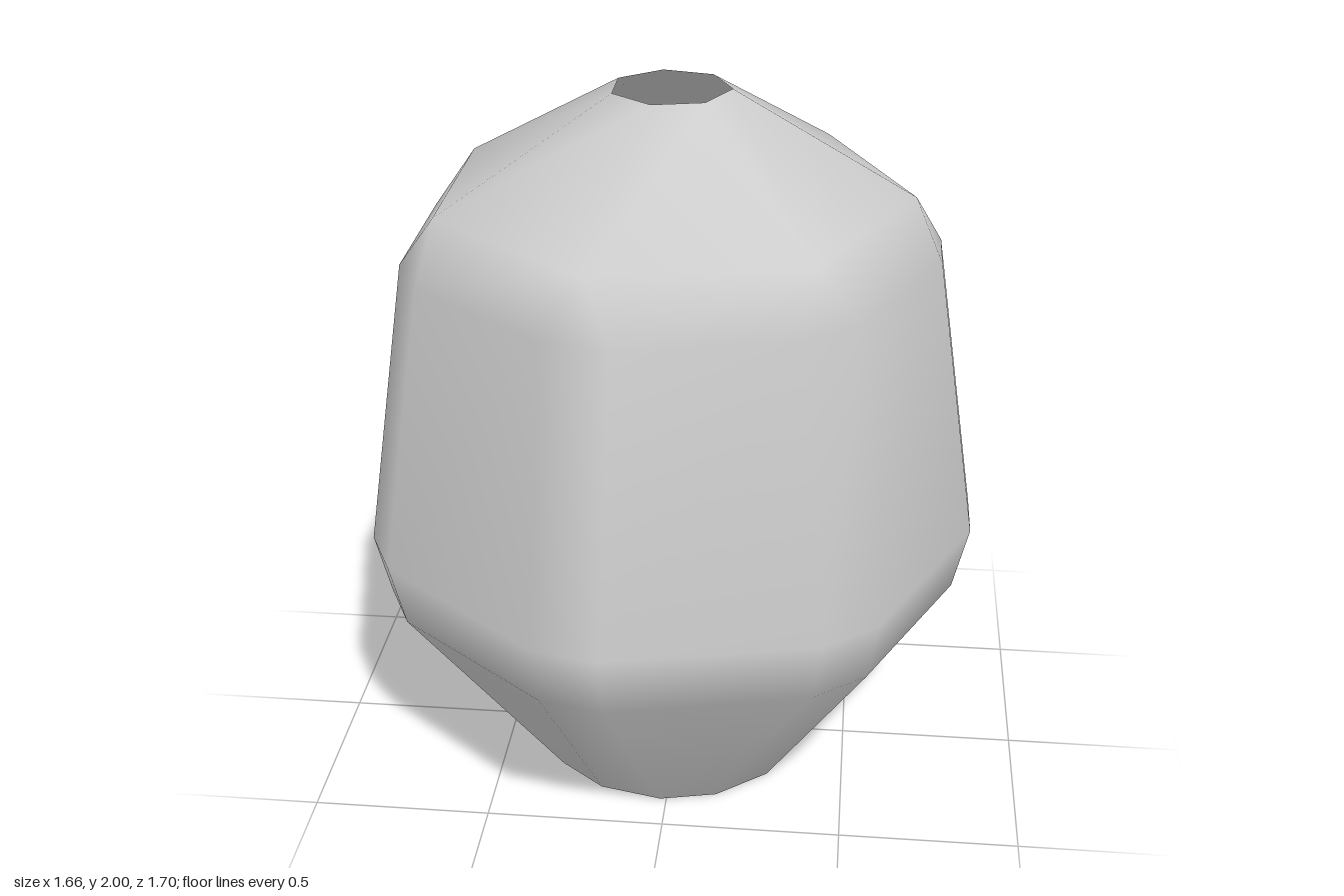
import * as THREE from 'three';

const SIDES = 7;
const CENTRE_X = -0.022;
const BEVEL = 0.09; // half width of the chamfer along each upright edge

// Height, radius and whether the ring's seven corners are chamfered
const RINGS = [
  { y: 0, r: 0.385, cut: true },
  { y: 0.59, r: 0.815, cut: true },
  { y: 0.77, r: 0.857, cut: true },
  { y: 1.57, r: 0.732, cut: true },
  { y: 1.72, r: 0.652, cut: false },
  { y: 2, r: 0.162, cut: false },
];

function shellGeometry() {
  const positions = [];
  const indices = [];
  const rows = RINGS.map(({ y, r, cut }) => {
    const start = positions.length / 3;
    const half = cut ? Math.asin(BEVEL / r) : 0;
    for (let i = 0; i < SIDES; i++) {
      for (const s of cut ? [-1, 1] : [0]) {
        const a = (i / SIDES) * Math.PI * 2 + s * half;
        positions.push(CENTRE_X + r * Math.cos(a), y, r * Math.sin(a));
      }
    }
    // Plain corners stand for both ends of a chamfer
    return (k) => {
      const n = k % (SIDES * 2);
      return start + (cut ? n : Math.floor(n / 2));
    };
  });

  const triangle = (a, b, c) => {
    if (a !== b && b !== c && a !== c) indices.push(a, b, c);
  };
  for (let j = 0; j < rows.length - 1; j++) {
    const low = rows[j];
    const high = rows[j + 1];
    for (let k = 0; k < SIDES * 2; k++) {
      triangle(low(k), high(k), low(k + 1));
      triangle(low(k + 1), high(k), high(k + 1));
    }
  }

  const geometry = new THREE.BufferGeometry();
  geometry.setAttribute('position', new THREE.Float32BufferAttribute(positions, 3));
  geometry.setIndex(indices);
  geometry.computeVertexNormals();
  return geometry;
}

export function createModel() {
  const group = new THREE.Group();
  group.name = 'facetedShell';

  const grey = new THREE.MeshStandardMaterial({ color: 0xcccccc, side: THREE.DoubleSide });
  grey.name = 'light grey';

  // Seven-sided shell, open at the top and bottom
  const shell = new THREE.Mesh(shellGeometry(), grey);
  shell.name = 'shell';
  group.add(shell);
  return group;
}
